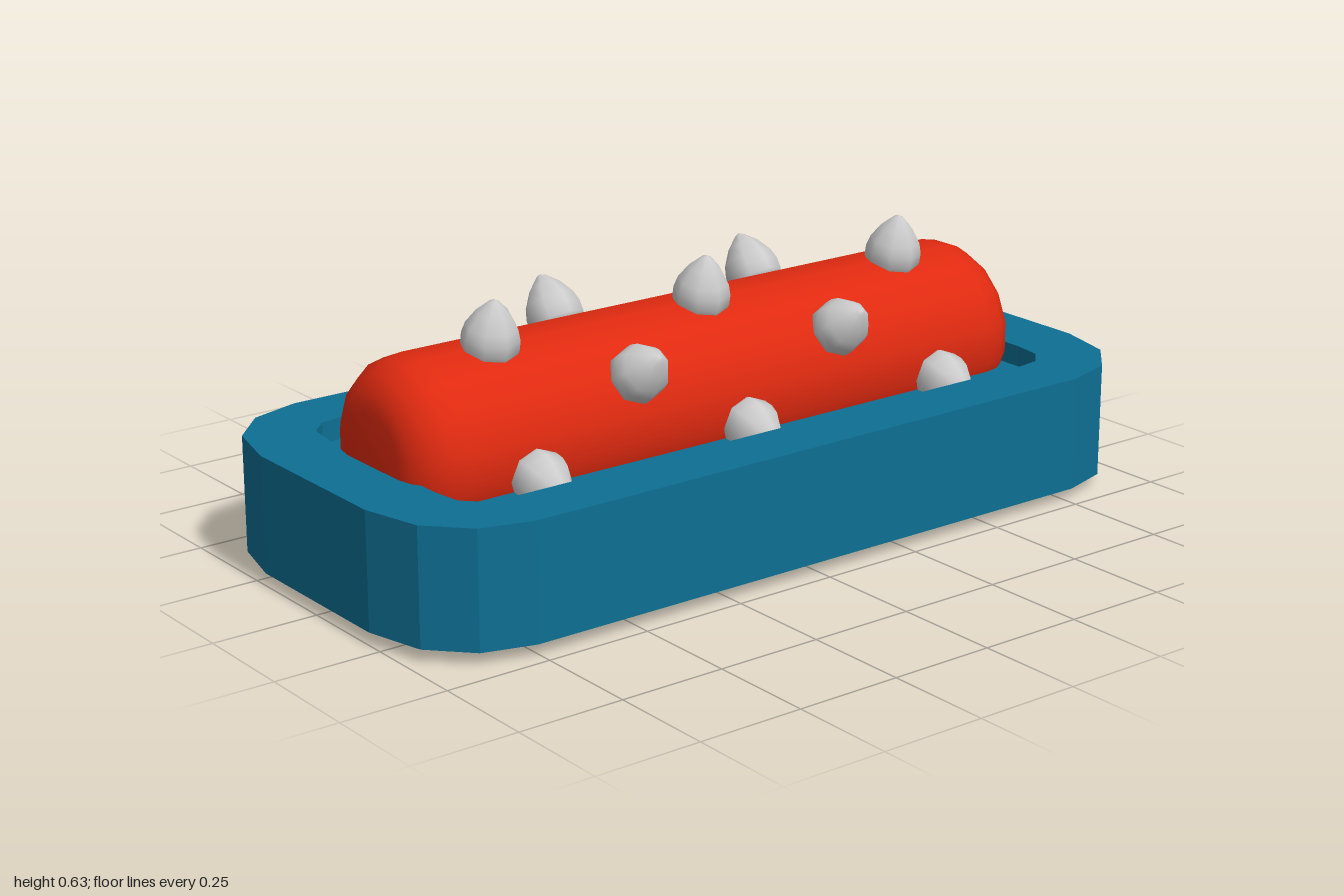
import * as THREE from 'three';

const BLUE = new THREE.MeshStandardMaterial({ color: 0x0e6f93, side: THREE.DoubleSide, flatShading: true });
const RED = new THREE.MeshStandardMaterial({ color: 0xdf2a10 });
const GREY = new THREE.MeshStandardMaterial({ color: 0xcccccc });

const BOTTOM = 0.03, TOP = 0.3, FLOOR = 0.25;
const AXIS_Y = 0.318, TWIST = THREE.MathUtils.degToRad(10.9);

const pts = (list) => list.map(([x, y]) => new THREE.Vector2(x, y));

// Mirrors one quarter of an outline into a closed counter-clockwise loop
function mirrorLoop(quarter) {
  const back = [...quarter].reverse();
  return pts([
    ...quarter,
    ...back.map(([x, y]) => [-x, y]),
    ...quarter.map(([x, y]) => [-x, -y]),
    ...back.map(([x, y]) => [x, -y]),
  ]);
}

// Upright band of quads following a loop; inward flips the facing
function band(loop, y0, y1, inward) {
  const pos = [];
  loop.forEach((p, i) => {
    const q = loop[(i + 1) % loop.length];
    const [a, b] = inward ? [q, p] : [p, q];
    const A = [a.x, y0, -a.y], B = [b.x, y0, -b.y];
    const C = [b.x, y1, -b.y], D = [a.x, y1, -a.y];
    pos.push(...A, ...B, ...C, ...A, ...C, ...D);
  });
  const g = new THREE.BufferGeometry();
  g.setAttribute('position', new THREE.Float32BufferAttribute(pos, 3));
  g.computeVertexNormals();
  return g;
}

// Horizontal plate, optionally with a hole
function plate(loop, y, hole) {
  const shape = new THREE.Shape(loop);
  if (hole) shape.holes.push(new THREE.Path(hole));
  return new THREE.ShapeGeometry(shape).rotateX(-Math.PI / 2).translate(0, y, 0);
}

function add(parent, name, geometry, material) {
  const mesh = new THREE.Mesh(geometry, material);
  mesh.name = name;
  parent.add(mesh);
  return mesh;
}

export function createModel() {
  const model = new THREE.Group();
  model.name = 'spikedRollerTrap';

  // Hollow housing, open underneath, with a shallow recess in its top
  const housing = new THREE.Group();
  housing.name = 'housing';
  const outer = mirrorLoop([[1, 0.21], [0.965, 0.35], [0.88, 0.44], [0.76, 0.475]]);
  const inner = mirrorLoop([[0.83, 0.21], [0.82, 0.28], [0.78, 0.32], [0.71, 0.33]]);
  add(housing, 'outerWall', band(outer, BOTTOM, TOP, false), BLUE);
  add(housing, 'topRim', plate(outer, TOP, inner), BLUE);
  add(housing, 'recessWall', band(inner, FLOOR, TOP, true), BLUE);
  add(housing, 'recessFloor', plate(inner, FLOOR), BLUE);
  model.add(housing);

  // Roller lying along x, with rounded ends
  const roller = new THREE.Group();
  roller.name = 'roller';
  roller.position.y = AXIS_Y;
  roller.rotation.x = TWIST;
  const half = 0.85, radius = 0.212, round = 0.11, steps = 4;
  const end = [[0, half]];
  for (let i = 0; i <= steps; i++) {
    const a = (i / steps) * Math.PI / 2;
    end.push([radius - round + round * Math.sin(a), half - round + round * Math.cos(a)]);
  }
  const profile = [...end.map(([r, h]) => [r, -h]), ...end.reverse()];
  add(roller, 'rollerBody', new THREE.LatheGeometry(pts(profile), 16).rotateZ(-Math.PI / 2), RED);

  // Eight rows of spikes, alternating three and two per row
  const spike = new THREE.LatheGeometry(pts([
    [0, 0.18], [0.055, 0.185], [0.065, 0.21], [0.065, 0.235],
    [0.058, 0.26], [0.037, 0.293], [0.012, 0.317], [0, 0.323],
  ]), 8);
  for (let row = 0; row < 8; row++) {
    const xs = row % 2 ? [-0.285, 0.285] : [-0.572, 0, 0.572];
    for (const x of xs) {
      const mesh = add(roller, 'spike', spike, GREY);
      mesh.position.x = x;
      mesh.rotation.x = row * Math.PI / 4;
    }
  }
  model.add(roller);

  return model;
}
